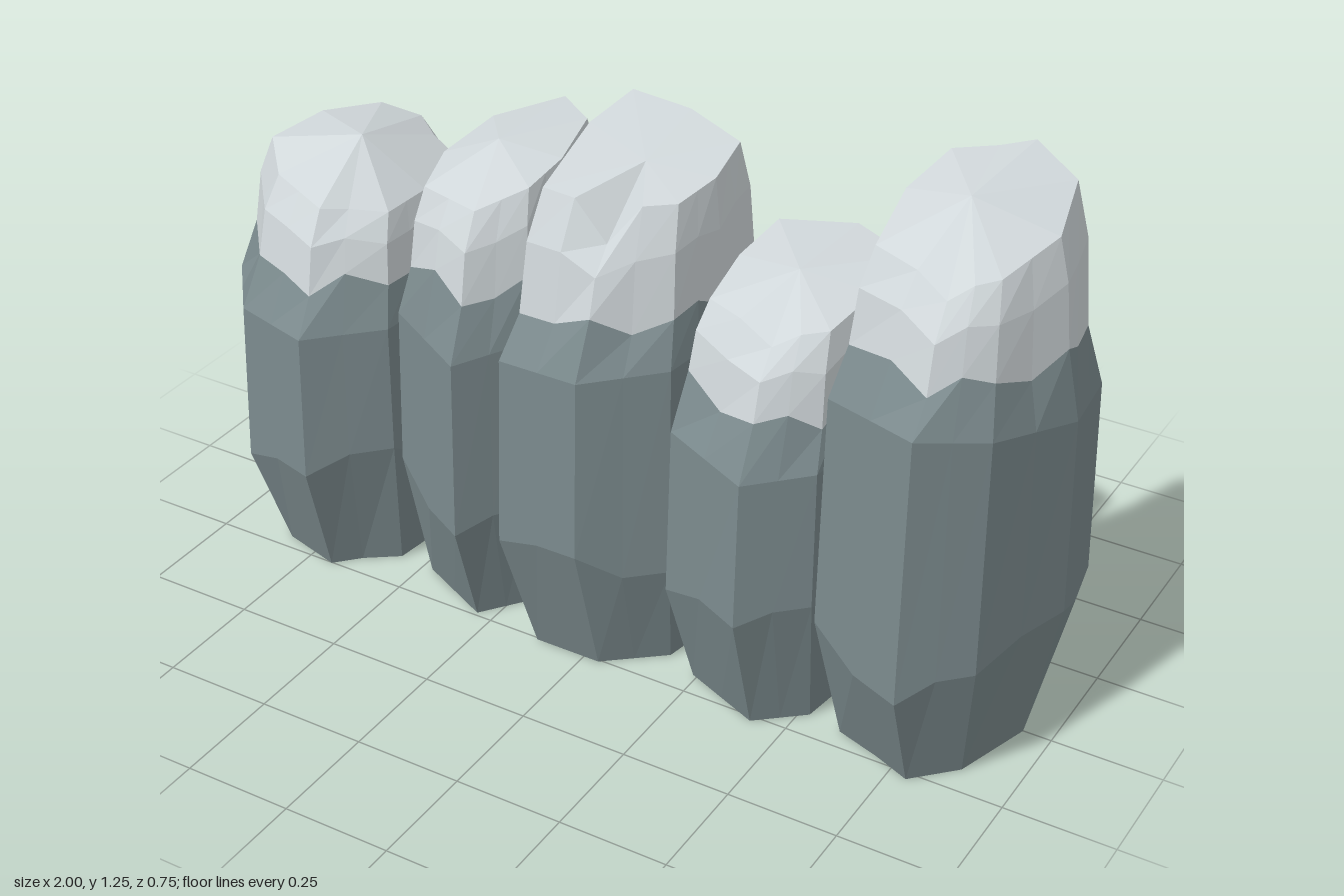
import * as THREE from 'three';

// Footprint corners [x, z], clockwise seen from above
const OUTLINES = [
  [[-0.84, -0.33], [-0.7, -0.37], [-0.52, -0.24], [-0.51, 0], [-0.53, 0.2], [-0.67, 0.345], [-0.87, 0.29], [-1, 0.13], [-0.96, -0.13]],
  [[-0.49, -0.23], [-0.32, -0.37], [-0.19, -0.24], [-0.16, 0], [-0.18, 0.18], [-0.28, 0.33], [-0.5, 0.21], [-0.54, 0]],
  [[-0.165, -0.295], [0.015, -0.29], [0.2, -0.2], [0.22, 0.02], [0.19, 0.21], [0.04, 0.35], [-0.15, 0.35], [-0.19, -0.05]],
  [[0.21, -0.24], [0.41, -0.33], [0.59, -0.23], [0.58, 0], [0.55, 0.25], [0.43, 0.365], [0.21, 0.26], [0.19, 0]],
  [[0.59, -0.23], [0.77, -0.38], [0.95, -0.26], [1, 0], [0.92, 0.25], [0.8, 0.37], [0.57, 0.275], [0.55, 0]],
];

// Centre x, shoulder and cap-edge heights, shoulder rise to the front,
// crown rim height with its x and z tilt, dip of the front rim corner, apex
const COLUMNS = [
  { name: 'columnFarRight', x: -0.74, shoulder: 0.64, cap: 0.74, rise: 0, rim: 0.93, tiltX: -0.16, tiltZ: -0.06, dip: 0, apex: [-0.69, 1.01] },
  { name: 'columnRight', x: -0.35, shoulder: 0.72, cap: 0.83, rise: -0.1, rim: 1.03, tiltX: 0.16, tiltZ: -0.14, dip: 0, apex: [-0.33, 1.09] },
  { name: 'columnMiddle', x: 0.02, shoulder: 0.77, cap: 0.86, rise: -0.05, rim: 1.13, tiltX: -0.05, tiltZ: -0.1, dip: 0.08, apex: [0.03, 1.13] },
  { name: 'columnLeft', x: 0.385, shoulder: 0.66, cap: 0.76, rise: -0.04, rim: 0.95, tiltX: 0, tiltZ: -0.1, dip: 0.02, apex: [0.39, 0.98] },
  { name: 'columnFarLeft', x: 0.77, shoulder: 0.79, cap: 0.92, rise: 0.22, rim: 1.19, tiltX: -0.04, tiltZ: -0.17, dip: 0.02, apex: [0.75, 1.24] },
];

function faceted(positions, material, name) {
  const g = new THREE.BufferGeometry();
  g.setAttribute('position', new THREE.Float32BufferAttribute(positions, 3));
  g.computeVertexNormals();
  const mesh = new THREE.Mesh(g, material);
  mesh.name = name;
  return mesh;
}

// Band of triangles between two rings
function band(out, lo, up) {
  for (let i = 0; i < lo.length; i++) {
    const j = (i + 1) % lo.length;
    out.push(...lo[i], ...up[i], ...lo[j], ...up[i], ...up[j], ...lo[j]);
  }
}

// Fan closing a ring to a point
function fan(out, ring, tip, upward) {
  for (let i = 0; i < ring.length; i++) {
    const a = ring[i], b = ring[(i + 1) % ring.length];
    out.push(...tip, ...(upward ? b : a), ...(upward ? a : b));
  }
}

function column(s, corners, stone, pale, seed) {
  // Midpoints let the pale edge run raggedly
  const outline = corners.flatMap((p, i) => {
    const q = corners[(i + 1) % corners.length];
    return [p, [(p[0] + q[0]) / 2, (p[1] + q[1]) / 2]];
  });
  // Sides that touch a neighbour taper less than free sides
  const ring = (scaleX, scaleZ, height) => outline.map(([x, z], i) => {
    const k = Math.abs(x) < 0.6 ? scaleX + (1 - scaleX) * 0.4 : scaleX;
    return [s.x + (x - s.x) * k, height(x - s.x, z, i), z * scaleZ];
  });
  const bulgeY = (x, z, i) => 0.3 + 0.04 * Math.sin(Math.floor(i / 2) * 1.9 + seed * 2);
  const shoulderY = (x, z) => s.shoulder + s.rise * z;
  const edgeY = (x, z, i) => s.cap + s.rise * z * 0.5 + 0.025 * Math.sin(i * 2.3 + seed * 1.7);
  const rimY = (x, z, i) => s.rim + s.tiltX * x + s.tiltZ * z - (i === 10 ? s.dip : 0);
  const crownY = (x, z, i) => edgeY(x, z, i) * 0.4 + rimY(x, z, i) * 0.6;

  const base = ring(0.72, 0.73, () => 0);
  const bulge = ring(1, 1, bulgeY);
  const shoulder = ring(0.96, 0.96, shoulderY);
  const edge = ring(0.82, 0.79, edgeY);
  const crown = ring(0.76, 0.72, crownY);
  const rim = ring(0.66, 0.58, rimY);

  const body = [], top = [];
  fan(body, base, [s.x, 0, 0], false);
  band(body, base, bulge);
  band(body, bulge, shoulder);
  band(body, shoulder, edge);
  band(top, edge, crown);
  band(top, crown, rim);
  fan(top, rim, [...s.apex, 0.04], true);

  const group = new THREE.Group();
  group.name = s.name;
  group.add(faceted(body, stone, 'columnBody'), faceted(top, pale, 'columnCap'));
  return group;
}

export function createModel() {
  const stone = new THREE.MeshStandardMaterial({ color: 0x7b8a8d });
  stone.name = 'slate stone';
  const pale = new THREE.MeshStandardMaterial({ color: 0xd0d7da });
  pale.name = 'pale stone';
  const model = new THREE.Group();
  model.name = 'rockColumns';
  COLUMNS.forEach((spec, i) => model.add(column(spec, OUTLINES[i], stone, pale, i)));
  return model;
}
